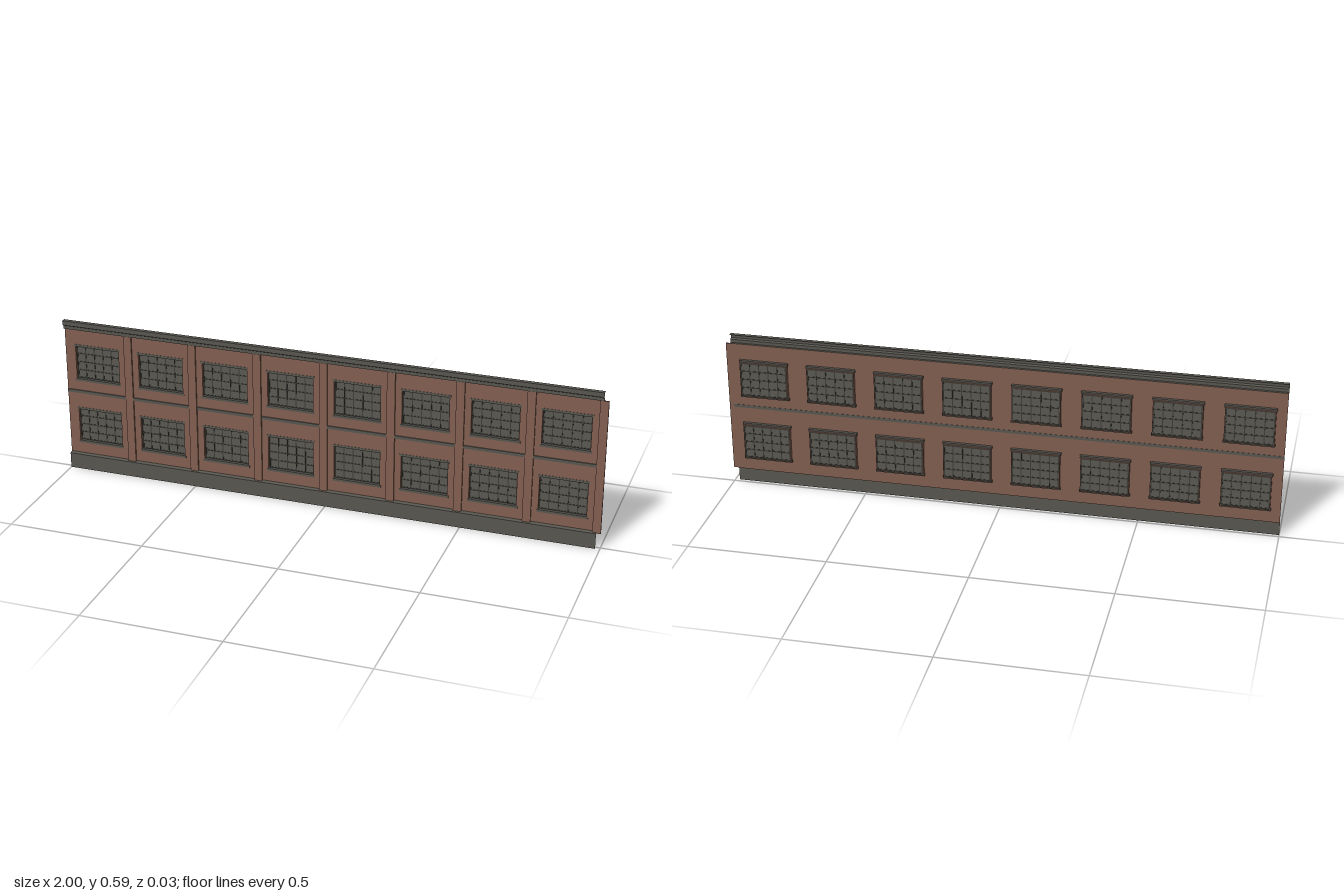
import * as THREE from 'three';

const BAYS = 8, PITCH = 0.248, LEFT = -1, RIGHT = LEFT + BAYS * PITCH;
const WALL_BOTTOM = 0.055, WALL_TOP = 0.555;
const WIN_W = 0.17, WIN_H = 0.128, DEPTH = 0.016;
const ROWS = [0.175, 0.424]; // window centre heights

const paint = (name, color) => {
  const m = new THREE.MeshStandardMaterial({ color, side: THREE.DoubleSide });
  m.name = name;
  return m;
};

export function createModel() {
  const brick = paint('brick', 0x825f50);
  const stone = paint('grey stone', 0x585650);
  const glass = paint('window pane', 0x5a5952);
  const iron = paint('dark frame', 0x3c3c38);

  const model = new THREE.Group();
  model.name = 'facadeSection';

  const box = (parent, name, mat, w, h, d, x, y, z) => {
    const mesh = new THREE.Mesh(new THREE.BoxGeometry(w, h, d), mat);
    mesh.name = name;
    mesh.position.set(x, y, z);
    parent.add(mesh);
    return mesh;
  };

  // Open moulding: a (z, y) profile swept along x, without end caps
  const moulding = (name, profile) => {
    const pos = [];
    for (let i = 0; i < profile.length - 1; i++) {
      const [za, ya] = profile[i], [zb, yb] = profile[i + 1];
      pos.push(LEFT, ya, za, RIGHT, ya, za, RIGHT, yb, zb);
      pos.push(LEFT, ya, za, RIGHT, yb, zb, LEFT, yb, zb);
    }
    const geo = new THREE.BufferGeometry();
    geo.setAttribute('position', new THREE.Float32BufferAttribute(pos, 3));
    geo.computeVertexNormals();
    const mesh = new THREE.Mesh(geo, stone);
    mesh.name = name;
    model.add(mesh);
  };

  // Brick sheet with window openings
  const rect = (path, x0, y0, x1, y1) =>
    path.moveTo(x0, y0).lineTo(x1, y0).lineTo(x1, y1).lineTo(x0, y1).closePath();
  const wallShape = new THREE.Shape();
  rect(wallShape, LEFT, WALL_BOTTOM, RIGHT, WALL_TOP);

  // One recessed window: reveals, pane, glazing bars, lintel and sill
  const addWindow = (x, y) => {
    const win = new THREE.Group();
    win.name = 'window';
    win.position.set(x, y, 0);
    model.add(win);
    const t = 0.002;
    for (const s of [-1, 1]) {
      box(win, 'sideReveal', brick, t, WIN_H, DEPTH, s * (WIN_W + t) / 2, 0, -DEPTH / 2);
      box(win, 'crossReveal', brick, WIN_W + 2 * t, t, DEPTH, 0, s * (WIN_H + t) / 2, -DEPTH / 2);
      box(win, s > 0 ? 'lintel' : 'sill', stone, WIN_W + 0.01, 0.009, 0.012,
        0, s * (WIN_H / 2 + 0.0035), -0.005);
      box(win, 'frameSide', iron, 0.004, WIN_H, 0.004, s * (WIN_W / 2 - 0.002), 0, -0.012);
      box(win, 'frameRail', iron, WIN_W, 0.004, 0.004, 0, s * (WIN_H / 2 - 0.002), -0.012);
    }
    box(win, 'pane', glass, WIN_W, WIN_H, 0.001, 0, 0, -0.012);
    for (let i = 1; i < 5; i++)
      box(win, 'verticalBar', iron, 0.0035, WIN_H, 0.004, WIN_W * (i / 5 - 0.5), 0, -0.012);
    for (let i = 1; i < 4; i++)
      box(win, 'horizontalBar', iron, WIN_W, 0.0035, 0.004, 0, WIN_H * (i / 4 - 0.5), -0.012);
  };

  for (let i = 0; i < BAYS; i++) {
    const x = LEFT + (i + 0.5) * PITCH;
    for (const y of ROWS) {
      const hole = new THREE.Path();
      rect(hole, x - WIN_W / 2, y - WIN_H / 2, x + WIN_W / 2, y + WIN_H / 2);
      wallShape.holes.push(hole);
      addWindow(x, y);
    }
    // Pilaster closing each bay
    box(model, 'pilaster', brick, 0.03, WALL_TOP - WALL_BOTTOM - 0.003, 0.006,
      LEFT + (i + 1) * PITCH, (WALL_TOP + WALL_BOTTOM) / 2, 0.0032);
  }

  const wall = new THREE.Mesh(new THREE.ShapeGeometry(wallShape), brick);
  wall.name = 'wall';
  model.add(wall);

  // Floor band between the storeys, plinth and cornice
  box(model, 'floorBand', stone, RIGHT - LEFT, 0.011, 0.005, (LEFT + RIGHT) / 2, 0.31, 0.0015);
  moulding('plinth', [[0.012, 0], [0.012, 0.058], [0, 0.062]]);
  moulding('cornice', [[0, 0.555], [0.009, 0.555], [0.009, 0.567], [0.016, 0.571], [0.016, 0.588], [0, 0.588]]);

  return model;
}
